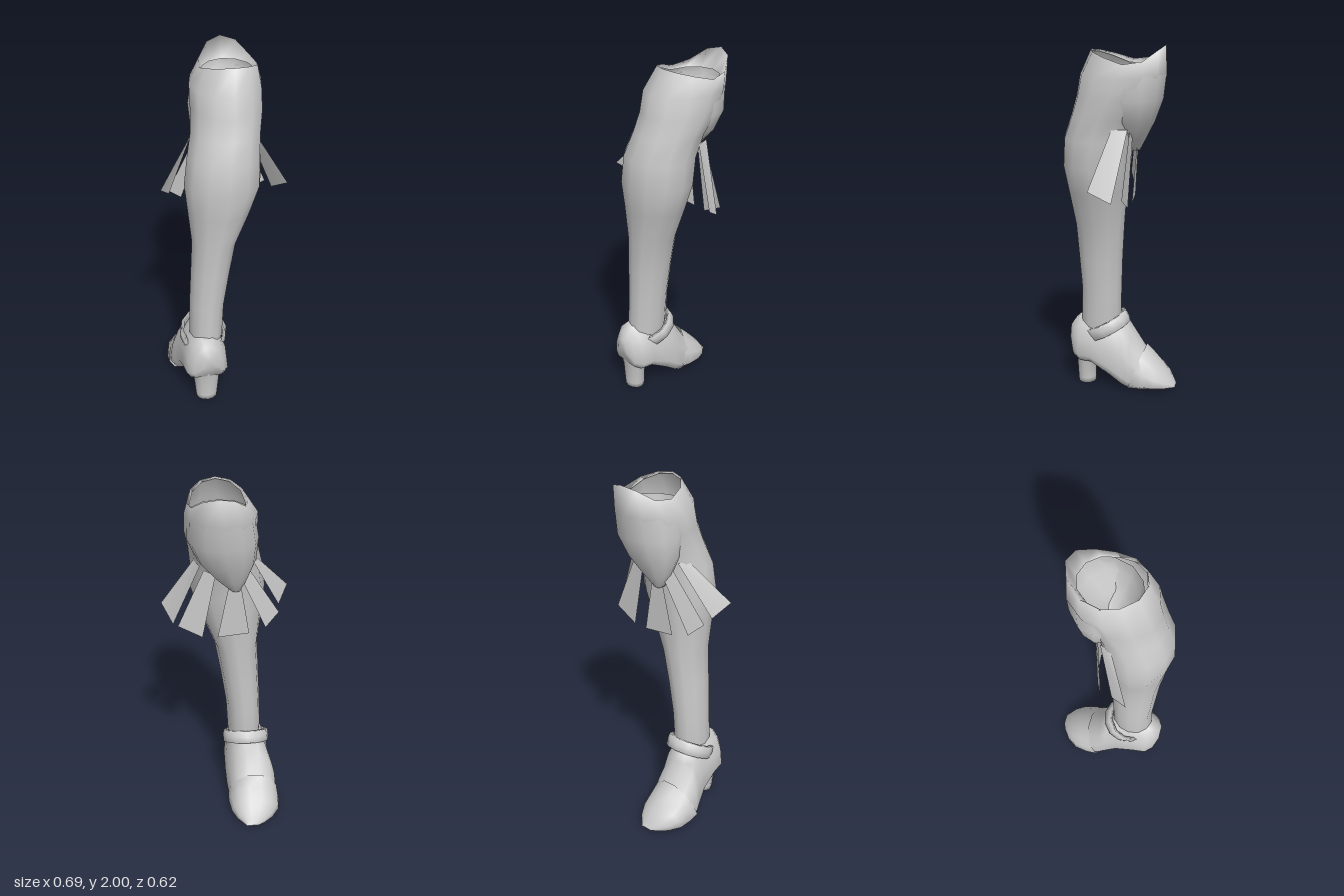
import * as THREE from 'three';

const grey = new THREE.MeshStandardMaterial({ color: 0xcccccc, side: THREE.DoubleSide });

// Skins a list of equal-length point rings, optionally closing both ends.
function loft(name, rings, capStart = false, capEnd = false) {
  const n = rings[0].length;
  const points = rings.flat();
  const index = [];
  for (let i = 0; i < rings.length - 1; i++) {
    for (let j = 0; j < n; j++) {
      const a = i * n + j, b = i * n + (j + 1) % n;
      index.push(a, a + n, b, b, a + n, b + n);
    }
  }
  const cap = (start, flip) => {
    const c = new THREE.Vector3();
    for (let j = 0; j < n; j++) c.addScaledVector(points[start + j], 1 / n);
    const k = points.push(c) - 1;
    for (let j = 0; j < n; j++) {
      const a = start + j, b = start + (j + 1) % n;
      index.push(k, ...(flip ? [b, a] : [a, b]));
    }
  };
  if (capStart) cap(0, false);
  if (capEnd) cap((rings.length - 1) * n, true);
  const g = new THREE.BufferGeometry().setFromPoints(points);
  g.setIndex(index);
  g.computeVertexNormals();
  const mesh = new THREE.Mesh(g, grey);
  mesh.name = name;
  return mesh;
}

// Horizontal oval ring; lift(s) raises points, s = -1 at the front of the knee, +1 at the calf.
function oval(y, x0, x1, z0, z1, lift = () => 0, n = 12) {
  return Array.from({ length: n }, (_, j) => {
    const a = (j / n) * Math.PI * 2, s = Math.sin(a);
    return new THREE.Vector3(
      (x0 + x1) / 2 + (x1 - x0) / 2 * Math.cos(a), y + lift(s), (z0 + z1) / 2 + (z1 - z0) / 2 * s);
  });
}

// Upright shoe section, flat below and narrow on top; lean slants it toward the toe.
const shoeOutline = [[1, 0.15], [0.92, 0.5], [0.68, 0.8], [0.25, 1], [-0.25, 1],
  [-0.68, 0.8], [-0.92, 0.5], [-1, 0.15], [-0.8, 0], [0.8, 0]];
function shoeSection([z, x0, x1, y0, y1, lean = 0]) {
  return shoeOutline.map(([u, v]) => new THREE.Vector3(
    (x0 + x1) / 2 + (x1 - x0) / 2 * u, y0 + (y1 - y0) * v, z - lean * v));
}

export function createModel() {
  const model = new THREE.Group();
  model.name = 'bootedLeg';

  // Leg, from the ankle up to the open top: y, x range, z range
  const legRings = [
    [0.3, -0.2, -0.04, 0.03, 0.24],
    [0.42, -0.21, -0.02, 0.01, 0.245],
    [0.6, -0.205, -0.01, 0.005, 0.24],
    [0.8, -0.195, 0.02, -0.005, 0.25],
    [1.0, -0.185, 0.055, -0.02, 0.26],
    [1.2, -0.205, 0.135, -0.04, 0.285],
    [1.35, -0.22, 0.185, -0.065, 0.308],
    [1.5, -0.2, 0.185, -0.085, 0.3],
    [1.62, -0.172, 0.195, -0.13, 0.255],
    [1.73, -0.162, 0.215, -0.21, 0.22],
    [1.84, -0.16, 0.215, -0.262, 0.2],
  ].map(r => oval(...r));
  const rimLift = s => (s > 0 ? 0.06 * s : 0.09 * Math.max(0, -s - 0.4) / 0.6);
  legRings.push(oval(1.91, -0.105, 0.2, -0.262, 0.135, rimLift));
  legRings.push(oval(1.89, -0.095, 0.185, -0.21, 0.128, s => Math.max(0, 0.07 * s)));
  model.add(loft('leg', legRings));

  // Knee guard tapering down to a point
  model.add(loft('kneeGuard', [
    [1.43, -0.07, -0.02, -0.11, -0.05],
    [1.5, -0.11, 0.06, -0.148, 0],
    [1.6, -0.15, 0.15, -0.2, 0.05],
    [1.72, -0.162, 0.205, -0.246, 0.1],
    [1.85, -0.14, 0.2, -0.262, 0.12],
  ].map(r => oval(...r)), true));

  // Shoe body from heel to toe: z, x range, y range, lean
  model.add(loft('shoe', [
    [0.31, -0.16, -0.09, 0.26, 0.35],
    [0.285, -0.215, -0.04, 0.19, 0.39],
    [0.245, -0.25, -0.01, 0.165, 0.425],
    [0.17, -0.26, 0, 0.16, 0.44],
    [0.06, -0.265, 0, 0.09, 0.44],
    [-0.01, -0.285, -0.005, 0.035, 0.41],
    [-0.05, -0.298, -0.012, 0.012, 0.34],
    [-0.13, -0.295, -0.02, 0.012, 0.215],
    [-0.2, -0.28, -0.03, 0.012, 0.14],
    [-0.26, -0.24, -0.06, 0.012, 0.08],
  ].map(shoeSection), true, true));

  // Toe cap with a slanted upper edge
  model.add(loft('toeCap', [
    [-0.045, -0.305, -0.01, 0.01, 0.235, 0.085],
    [-0.11, -0.308, -0.01, 0.01, 0.185, 0.07],
    [-0.19, -0.297, -0.022, 0.01, 0.13, 0.04],
    [-0.255, -0.255, -0.05, 0.01, 0.085, 0.015],
    [-0.295, -0.205, -0.085, 0.01, 0.045],
    [-0.313, -0.165, -0.1, 0.01, 0.02],
  ].map(shoeSection), false, true));

  // Block heel
  const heel = loft('heel', [
    [0, -0.19, -0.07, 0.165, 0.27],
    [0.03, -0.193, -0.067, 0.165, 0.272],
    [0.15, -0.205, -0.055, 0.165, 0.277],
    [0.24, -0.24, -0.025, 0.12, 0.3],
  ].map(r => oval(...r)), true);
  model.add(heel);

  // Tilted ankle strap
  const band = [[0.86, -0.038], [1, -0.034], [1.02, 0], [1, 0.034], [0.86, 0.038], [0.86, -0.038]];
  const strap = new THREE.Mesh(
    new THREE.LatheGeometry(band.map(p => new THREE.Vector2(...p)), 12), grey);
  strap.name = 'ankleStrap';
  strap.scale.set(0.132, 1, 0.138);
  strap.rotation.x = 0.5;
  strap.position.set(-0.125, 0.365, 0.095);
  model.add(strap);

  // Ribbons fanning out beneath the knee: two root corners, two tip corners
  const ribbons = new THREE.Group();
  ribbons.name = 'ribbons';
  [
    [[0.17, 1.57, 0], [0.14, 1.57, -0.08], [0.285, 1.205, -0.025], [0.345, 1.28, 0.085]],
    [[0.12, 1.55, -0.085], [0.06, 1.52, -0.09], [0.13, 1.15, -0.08], [0.26, 1.22, -0.075]],
    [[-0.01, 1.47, -0.1], [-0.07, 1.47, -0.095], [-0.12, 1.16, -0.07], [0.05, 1.15, -0.085]],
    [[-0.06, 1.53, -0.1], [-0.11, 1.55, -0.07], [-0.285, 1.25, -0.01], [-0.21, 1.18, -0.05]],
    [[-0.14, 1.57, -0.05], [-0.16, 1.57, 0.01], [-0.345, 1.34, 0.14], [-0.29, 1.265, 0.05]],
  ].forEach((corners, i) => {
    const g = new THREE.BufferGeometry().setFromPoints(corners.map(c => new THREE.Vector3(...c)));
    g.setIndex([0, 2, 1, 0, 3, 2]);
    g.computeVertexNormals();
    const ribbon = new THREE.Mesh(g, grey);
    ribbon.name = 'ribbon' + (i + 1);
    ribbons.add(ribbon);
  });
  model.add(ribbons);

  return model;
}
